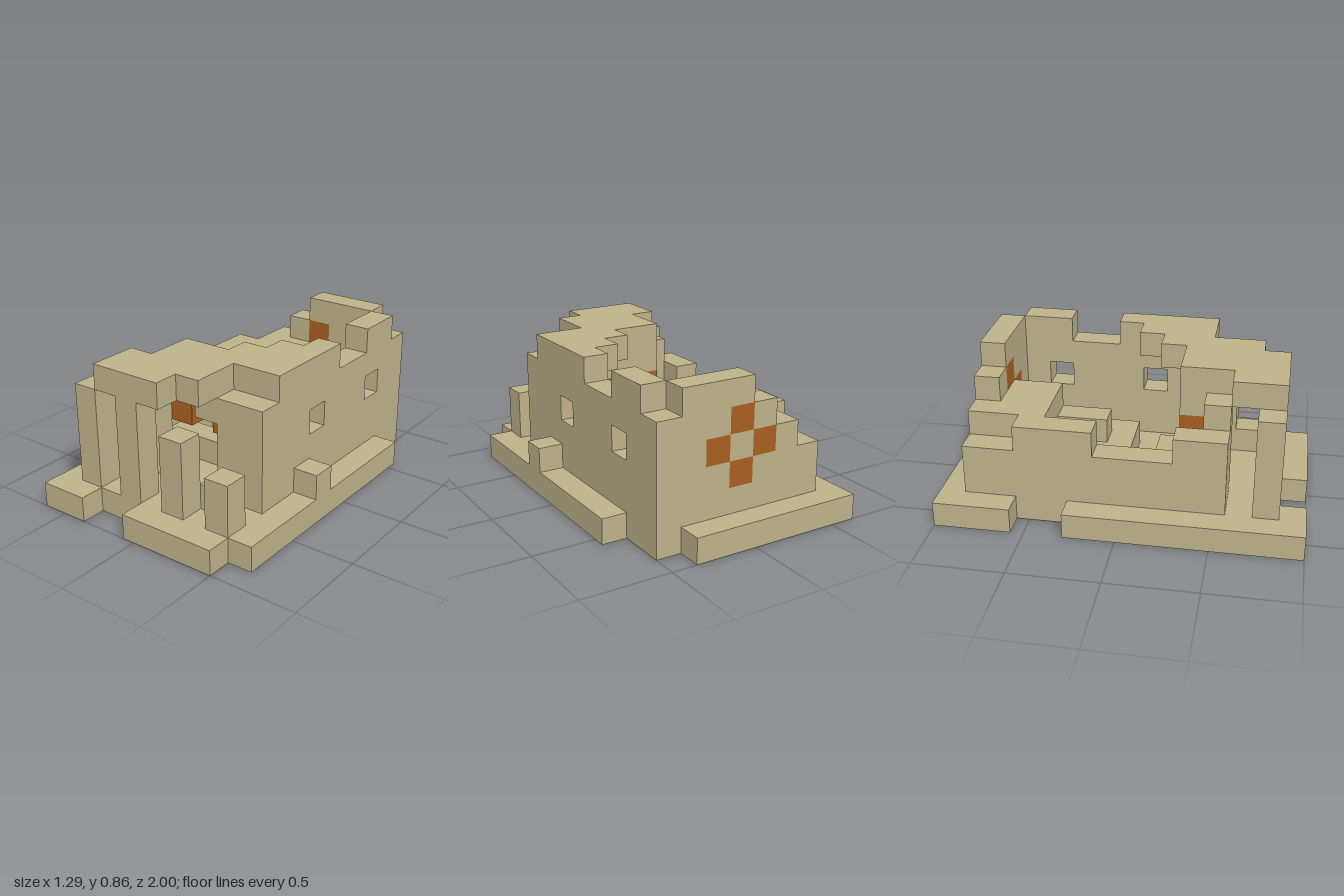
import * as THREE from 'three';

const U = 1 / 7; // one block
const stone = new THREE.MeshStandardMaterial({ color: 0xbdb28a });
stone.name = 'sandstone';
const rust = new THREE.MeshStandardMaterial({ color: 0xa85f20 });
rust.name = 'rust orange';

// Block coordinates: x 0..9, y 0..6, z 0..14, moved to the centred frame
function place(geometry) {
  return geometry.translate(-4.5, 0, -7).scale(U, U, U);
}

function addBox(parent, name, [x0, x1], [y0, y1], [z0, z1], material = stone) {
  const g = new THREE.BoxGeometry(x1 - x0, y1 - y0, z1 - z0);
  g.translate((x0 + x1) / 2, (y0 + y1) / 2, (z0 + z1) / 2);
  const mesh = new THREE.Mesh(place(g), material);
  mesh.name = name;
  parent.add(mesh);
}

function outline(points, Type = THREE.Shape) {
  return new Type(points.map(([a, b]) => new THREE.Vector2(a, b)));
}

function addGroup(parent, name) {
  const g = new THREE.Group();
  g.name = name;
  parent.add(g);
  return g;
}

export function createModel() {
  const model = new THREE.Group();
  model.name = 'ruinedTemple';

  // Stepped foundation slab with a U-shaped hollow below the dais
  const flip = (pts) => pts.map(([x, z]) => [x, -z]);
  const slab = outline(flip([
    [0, 0], [7, 0], [7, 1], [8, 1], [8, 3], [9, 3], [9, 13], [8, 13], [8, 14],
    [4, 14], [4, 13], [2, 13], [2, 14], [0, 14], [0, 5], [1, 5], [1, 3], [0, 3],
  ]));
  slab.holes.push(outline(flip([
    [3, 4], [6, 4], [6, 7], [5, 7], [5, 5], [4, 5], [4, 7], [3, 7],
  ]), THREE.Path));
  const slabGeo = new THREE.ExtrudeGeometry(slab, { depth: 1, bevelEnabled: false });
  const foundation = new THREE.Mesh(place(slabGeo.rotateX(-Math.PI / 2)), stone);
  foundation.name = 'foundation';
  model.add(foundation);

  // Long wall on the +x side, profile in z and y, with two windows
  const side = outline([
    [2, 1], [11, 1], [11, 5], [10, 5], [10, 6], [6, 6], [6, 5], [4, 5], [4, 6], [2, 6],
  ]);
  for (const z of [3, 7]) {
    side.holes.push(outline([[z, 3], [z + 1, 3], [z + 1, 4], [z, 4]], THREE.Path));
  }
  const sideGeo = new THREE.ExtrudeGeometry(side, { depth: 1, bevelEnabled: false });
  sideGeo.rotateY(-Math.PI / 2).translate(8, 0, 0);
  const leftWall = new THREE.Mesh(place(sideGeo), stone);
  leftWall.name = 'leftWall';
  model.add(leftWall);
  addBox(model, 'buttress', [8, 9], [1, 2], [8, 9]);

  // Back wall in columns, with a cross of orange blocks
  const back = addGroup(model, 'backWall');
  const columns = [
    [1, [[1, 3]]], [2, [[1, 4]]], [3, [[1, 3], [4, 5]]],
    [4, [[1, 2], [3, 4], [5, 6]]], [5, [[1, 3], [4, 6]]], [6, [[1, 6]]], [7, [[1, 5]]],
  ];
  for (const [x, spans] of columns) {
    for (const span of spans) addBox(back, 'backWallColumn', [x, x + 1], span, [1, 2]);
  }
  for (const [x, y] of [[4, 4], [4, 2], [3, 3], [5, 3]]) {
    addBox(back, 'crossBlock', [x, x + 1], [y, y + 1], [1, 2], rust);
  }

  // Broken wall on the -x side
  const right = addGroup(model, 'rightWall');
  for (const [z0, z1, top] of [[2, 3, 3], [3, 6, 4], [6, 9, 3], [9, 11, 4]]) {
    addBox(right, 'rightWallSection', [1, 2], [1, top], [z0, z1]);
  }
  addBox(right, 'cornerPier', [2, 3], [1, 5], [10, 11]);

  // Platform, throne and dais inside
  addBox(model, 'rearPlatform', [2, 5], [1, 4], [2, 4]);
  addBox(model, 'seat', [4, 5], [1, 3], [4, 6]);
  const dais = addGroup(model, 'dais');
  addBox(dais, 'daisSide', [5, 6], [1, 2], [3, 7]);
  addBox(dais, 'daisSide', [3, 4], [1, 2], [4, 7]);
  addBox(dais, 'daisFront', [4, 5], [1, 2], [6, 7]);
  addBox(dais, 'daisEnd', [2, 3], [1, 2], [4, 5]);

  // Low bench behind the entrance
  addBox(model, 'bench', [2, 5], [1, 2], [8, 9]);
  addBox(model, 'benchEnd', [2, 3], [1, 2], [9, 10]);

  // Stepped roof, one strip per row (the top of the long wall completes it)
  const roof = addGroup(model, 'roof');
  for (const [z, x0, x1] of [[7, 6, 7], [8, 5, 7], [9, 3, 7], [10, 3, 6], [11, 2, 6], [12, 2, 5]]) {
    addBox(roof, 'roofStrip', [x0, x1], [5, 6], [z, z + 1]);
  }

  // Entrance wall, lintels and hanging orange blocks
  addBox(model, 'entranceWall', [6, 7], [1, 5], [10, 11]);
  addBox(model, 'doorLintel', [5, 6], [4, 5], [10, 11]);
  addBox(model, 'innerLintel', [3, 6], [4, 5], [9, 10]);
  for (const x of [3, 5]) {
    addBox(model, 'hangingBlock', [x, x + 1], [3, 4], [9, 10], rust);
  }

  // Front pillars, two whole and two broken, and a fallen block
  for (const [x, top] of [[1, 5], [3, 5], [5, 4], [7, 3]]) {
    addBox(model, 'frontPillar', [x, x + 1], [1, top], [12, 13]);
  }
  addBox(model, 'fallenBlock', [6, 7], [1, 2], [11, 12]);

  return model;
}
